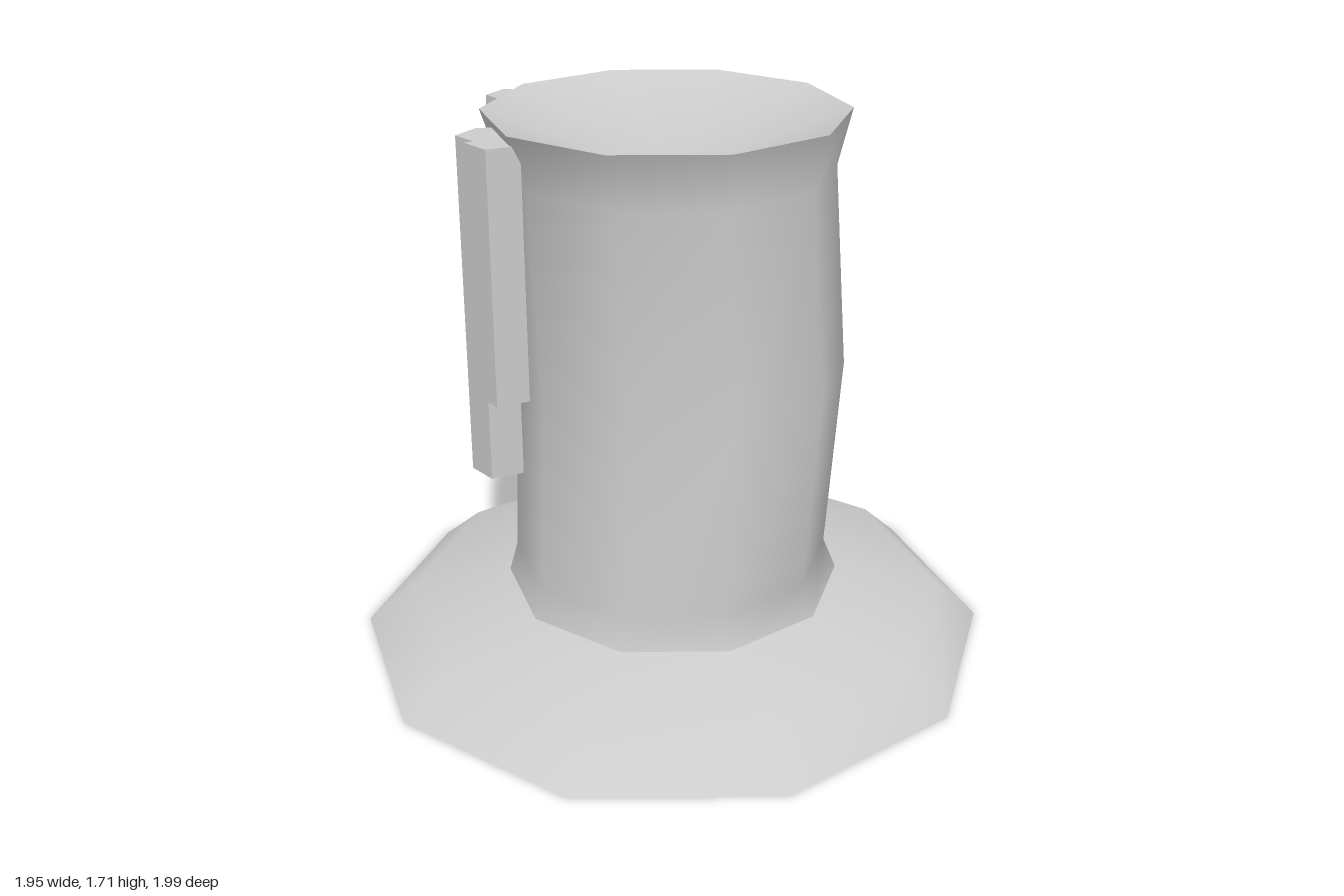
import * as THREE from 'three';
import { mergeVertices } from 'three/addons/utils/BufferGeometryUtils.js';

const SIDES = 10;
const PHASE = -0.224;

// Smooth ten-sided loft; each ring is [y, radius, centreX, centreZ]
function loft(rings) {
  const pos = [], index = [];
  for (const [y, r, cx = 0, cz = 0] of rings) {
    for (let i = 0; i < SIDES; i++) {
      const a = PHASE + (i / SIDES) * Math.PI * 2;
      pos.push(cx + r * Math.cos(a), y, cz + r * Math.sin(a));
    }
  }
  for (let k = 0; k < rings.length - 1; k++) {
    for (let i = 0; i < SIDES; i++) {
      const j = (i + 1) % SIDES;
      const a = k * SIDES + i, b = k * SIDES + j;
      const c = a + SIDES, d = b + SIDES;
      if (rings[k][1] > 0) index.push(a, c, b);
      if (rings[k + 1][1] > 0) index.push(b, c, d);
    }
  }
  const g = new THREE.BufferGeometry();
  g.setAttribute('position', new THREE.Float32BufferAttribute(pos, 3));
  g.setIndex(index);
  const merged = mergeVertices(g, 1e-5);
  merged.computeVertexNormals();
  return merged;
}

// Upright prism from a plan outline of [x, z] corners
function prism(outline, bottom, top) {
  const shape = new THREE.Shape(outline.map(([x, z]) => new THREE.Vector2(x, -z)));
  const g = new THREE.ExtrudeGeometry(shape, { depth: top - bottom, bevelEnabled: false });
  return g.rotateX(-Math.PI / 2).translate(0, bottom, 0);
}

export function createModel() {
  const group = new THREE.Group();
  const grey = new THREE.MeshStandardMaterial({ color: 0xcccccc });
  grey.name = 'grey';
  const add = (name, geometry) => {
    const mesh = new THREE.Mesh(geometry, grey);
    mesh.name = name;
    group.add(mesh);
  };

  // Wide sloping foot and its flat underside
  add('base', loft([[0, 1], [0.11, 0.86, 0, -0.03], [0.185, 0.53, 0, 0]]));
  add('baseUnderside', loft([[0, 0], [0, 1]]));

  // Slightly uneven column flaring at both ends
  add('column', loft([
    [0.185, 0.53, 0, 0],
    [0.29, 0.495, -0.005, 0.01],
    [0.9, 0.508, 0.02, -0.02],
    [1.53, 0.497, -0.015, -0.02],
    [1.71, 0.542, -0.015, 0.015],
  ]));

  // Shallow dish closing the top
  add('topDish', loft([[1.71, 0.542, -0.015, 0.015], [1.51, 0, -0.015, 0.015]]));

  // Upright slats on the right side of the column
  add('backSlat', prism([[-0.62, -0.16], [-0.59, -0.25], [-0.46, -0.24], [-0.45, -0.09], [-0.53, -0.09]], 0.73, 1.68));
  add('middleSlat', prism([[-0.47, 0.22], [-0.52, 0.24], [-0.55, 0.33], [-0.47, 0.39], [-0.39, 0.33]], 0.65, 1.68));
  add('frontSlat', prism([[-0.4, 0.3], [-0.5, 0.4], [-0.42, 0.46], [-0.34, 0.4]], 0.92, 1.68));
  return group;
}
